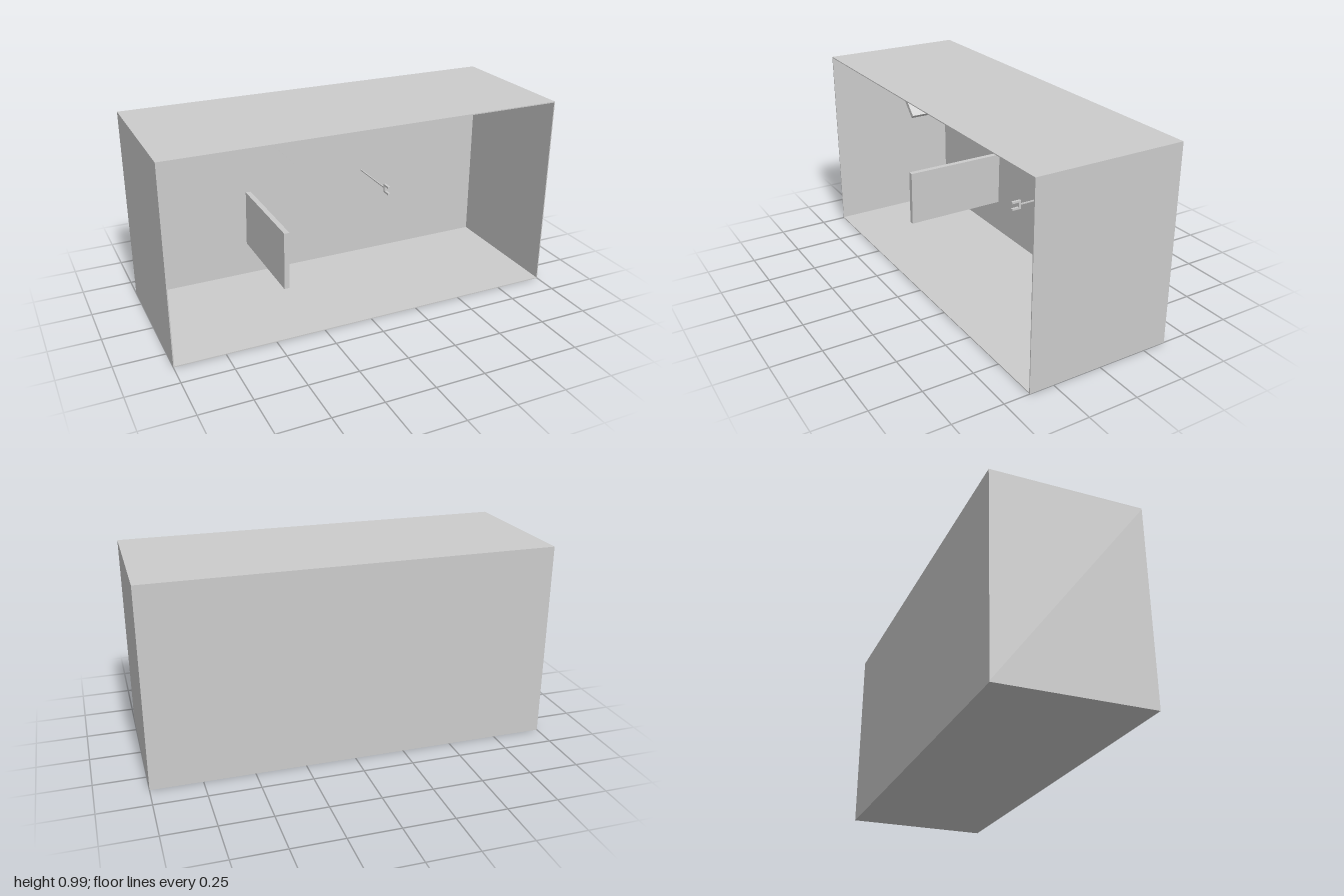
import * as THREE from 'three';

export function createModel() {
  const group = new THREE.Group();
  const grey = new THREE.MeshStandardMaterial({ color: 0xcccccc, flatShading: true });
  const W = 2, H = 0.99, D = 0.744, wall = 0.005, backThickness = 0.042;
  const backZ = -D / 2 + backThickness; // inner face of the back wall

  function box(name, size, pos, tilt = 0, parent = group) {
    const mesh = new THREE.Mesh(new THREE.BoxGeometry(...size), grey);
    mesh.name = name;
    mesh.position.set(...pos);
    mesh.rotation.z = tilt;
    parent.add(mesh);
    return mesh;
  }

  // Open-fronted case
  box('floor', [W, wall, D], [0, wall / 2, 0]);
  box('roof', [W, wall, D], [0, H - wall / 2, 0]);
  for (const s of [-1, 1]) {
    box(s > 0 ? 'leftWall' : 'rightWall', [wall, H - 2 * wall, D], [s * (W - wall) / 2, H / 2, 0]);
  }
  box('backWall', [W - 2 * wall, H - 2 * wall, backThickness], [0, H / 2, -D / 2 + backThickness / 2]);

  // Two boards standing out from the back wall
  const boardDepth = 0.55, boardZ = backZ + boardDepth / 2;
  box('uprightBoard', [0.027, 0.295, boardDepth], [-0.381, 0.332, boardZ], -0.025);
  box('slantedBoard', [0.022, 0.207, boardDepth], [-0.404, 0.882, boardZ], 0.77);

  // Small fork on a thin rod
  const fork = new THREE.Group();
  fork.name = 'fork';
  fork.position.set(0.28, 0.496, 0);
  group.add(fork);
  const rodFront = -0.045;
  box('rod', [0.006, 0.006, rodFront - backZ], [0, 0, (rodFront + backZ) / 2], 0, fork);
  box('crossbar', [0.013, 0.046, 0.012], [0, 0, -0.039], 0, fork);
  for (const s of [-1, 1]) {
    box('prong', [0.013, 0.01, 0.038], [0, s * 0.018, -0.014], 0, fork);
  }
  return group;
}
